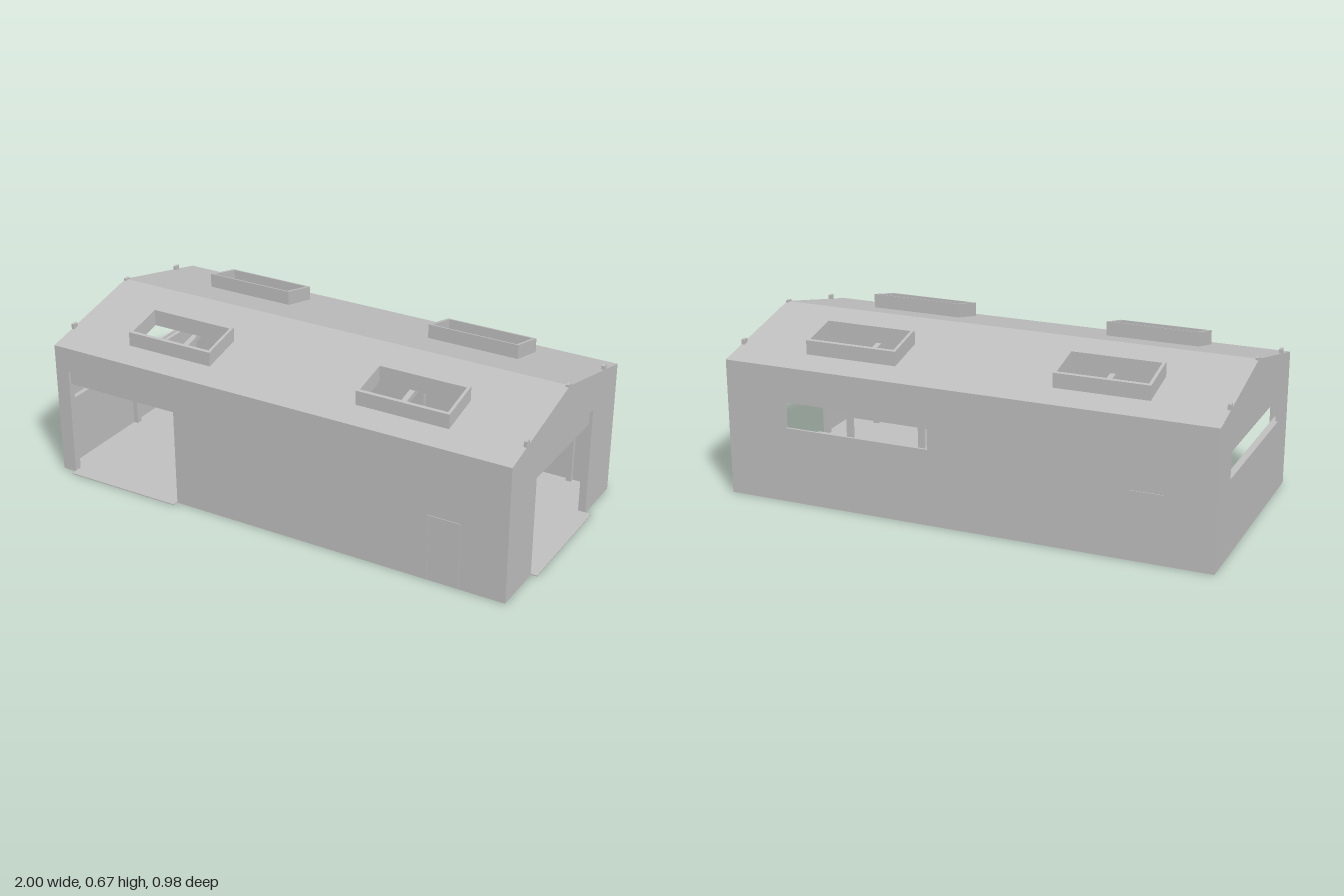
import * as THREE from 'three';

// Building extents
const X0 = -1, X1 = 0.975, Z0 = -0.49, Z1 = 0.465;
const EAVE = 0.55, RIDGE = 0.66, RZ = -0.0125, T = 0.01;
const roofY = (z) => RIDGE - (Math.abs(z - RZ) * (RIDGE - EAVE)) / (Z1 - RZ);

const concrete = new THREE.MeshStandardMaterial({ color: 0xc0c0c0 });
concrete.name = 'pale grey';

const loop = (a, b, c, d) =>
  [[a, b], [c, b], [c, d], [a, d]].map((p) => new THREE.Vector2(...p));

// Flat plate from an outline, with rectangular openings [x0, y0, x1, y1]
function plate(points, openings, depth) {
  const shape = new THREE.Shape(points);
  for (const o of openings) shape.holes.push(new THREE.Path(loop(...o)));
  return new THREE.ExtrudeGeometry(shape, { depth, bevelEnabled: false });
}

// Plate laid on the roof: top surface follows the slope, raised by lift
function onSlope(points, openings, depth, lift) {
  const g = plate(points, openings, depth).rotateX(Math.PI / 2);
  const p = g.attributes.position;
  for (let i = 0; i < p.count; i++) p.setY(i, p.getY(i) + roofY(p.getZ(i)) + lift);
  g.computeVertexNormals();
  return g;
}

export function createModel() {
  const model = new THREE.Group();
  model.name = 'workshopBuilding';

  const add = (name, geometry) => {
    const mesh = new THREE.Mesh(geometry, concrete);
    mesh.name = name;
    model.add(mesh);
    return mesh;
  };
  const box = (name, x0, x1, y0, y1, z0, z1) =>
    add(name, new THREE.BoxGeometry(x1 - x0, y1 - y0, z1 - z0)
      .translate((x0 + x1) / 2, (y0 + y1) / 2, (z0 + z1) / 2));

  // Floor slab and the aprons in front of the two vehicle doors
  box('floor', X0, X1, 0, 0.004, Z0, Z1);
  box('frontApron', -0.94, -0.44, 0, 0.004, Z1, 0.49);
  box('sideApron', X1, 1, 0, 0.004, -0.265, 0.245);

  // Long walls
  const top = EAVE - 0.006;
  add('frontWall', plate(loop(X0, 0.002, X1, top), [[-0.94, 0.004, -0.44, 0.45]], T)
    .translate(0, 0, Z1 - T));
  add('backWall', plate(loop(X0, 0.002, X1, top), [[0.12, 0.305, 0.72, 0.41]], T)
    .translate(0, 0, Z0));

  // Gable walls: the outline runs along -z, then is turned to face x
  const gable = [[-Z1 + T, 0.002], [-Z0 - T, 0.002], [-Z0 - T, top], [-RZ, RIDGE - 0.006], [-Z1 + T, top]]
    .map((p) => new THREE.Vector2(...p));
  add('doorGable', plate(gable, [[-0.245, 0.004, 0.265, 0.45]], T)
    .rotateY(Math.PI / 2).translate(X1 - T, 0, 0));
  add('windowGable', plate(gable, [[-0.325, 0.305, 0.335, 0.41]], T)
    .rotateY(Math.PI / 2).translate(X0, 0, 0));

  // Roof slopes with skylight openings, and raised open curbs around them
  const bays = [[-0.71, -0.335], [0.3, 0.68]];
  const slopes = [
    { side: 'front', z: [RZ, Z1], light: [0.19, 0.36] },
    { side: 'back', z: [Z0, RZ], light: [-0.38, -0.21] },
  ];
  const w = 0.012;
  for (const { side, z, light } of slopes) {
    const holes = bays.map(([a, b]) => [a + w, light[0] + w, b - w, light[1] - w]);
    add(side + 'Roof', onSlope(loop(X0, z[0], X1, z[1]), holes, 0.008, 0));
    bays.forEach(([a, b], i) =>
      add(side + 'SkylightCurb' + (i + 1),
        onSlope(loop(a, light[0], b, light[1]), [holes[i]], 0.059, 0.057)));
  }

  // Small fixings at the roof ends
  for (const x of [X0, X1 - 0.012]) {
    box('ridgeFixing', x, x + 0.012, 0.652, 0.666, RZ - 0.012, RZ + 0.012);
    for (const z of [0.34, -0.36])
      box('slopeFixing', x, x + 0.012, roofY(z) - 0.006, 0.598, z - 0.012, z + 0.012);
  }

  // Inner frame: wall columns with rafters above them
  const zf = Z1 - T, zb = Z0 + T;
  for (const x of [-0.86, -0.51, -0.17, 0.15, 0.45, 0.82]) {
    box('backColumn', x - 0.011, x + 0.011, 0.004, 0.53, zb, zb + 0.02);
    if (x > -0.4) box('frontColumn', x - 0.011, x + 0.011, 0.004, 0.53, zf - 0.02, zf);
    for (const [a, b] of [[zb, RZ], [RZ, zf]])
      add('rafter', onSlope(loop(x - 0.011, a, x + 0.011, b), [], 0.022, -0.008));
  }
  box('endColumn', X0 + T, X0 + T + 0.02, 0.004, 0.27, -0.025, 0);

  // Horizontal rails round the inside
  box('backRail', X0 + T, X1 - T, 0.27, 0.292, zb, zb + 0.02);
  box('frontRail', -0.43, X1 - T, 0.27, 0.292, zf - 0.02, zf);
  box('endRail', X0 + T, X0 + T + 0.02, 0.27, 0.3, zb, zf);
  box('ridgeBeam', X0 + T, X1 - T, 0.625, 0.645, RZ - 0.01, RZ + 0.01);

  // Raised vehicle doors with side tracks
  box('frontDoorHeader', -0.94, -0.44, 0.39, 0.46, zf - 0.014, zf - 0.003);
  box('sideDoorHeader', X1 - T - 0.014, X1 - T - 0.003, 0.385, 0.46, -0.265, 0.245);
  for (const x of [-0.952, -0.44])
    box('frontDoorTrack', x, x + 0.012, 0.004, 0.46, zf - 0.02, zf);
  for (const z of [-0.277, 0.245])
    box('sideDoorTrack', X1 - T - 0.02, X1 - T, 0.004, 0.46, z, z + 0.012);

  // Thin frames of the small doors in the long walls
  for (const [side, a, b, z] of [['front', 0.655, 0.79, Z1 + 0.001], ['back', -0.805, -0.675, Z0 - 0.001]]) {
    const d = 0.002, f = 0.006;
    box(side + 'SmallDoorTop', a, b, 0.266, 0.272, z - d, z + d);
    for (const x of [a, b - f])
      box(side + 'SmallDoorJamb', x, x + f, 0.004, 0.266, z - d, z + d);
  }

  return model;
}
